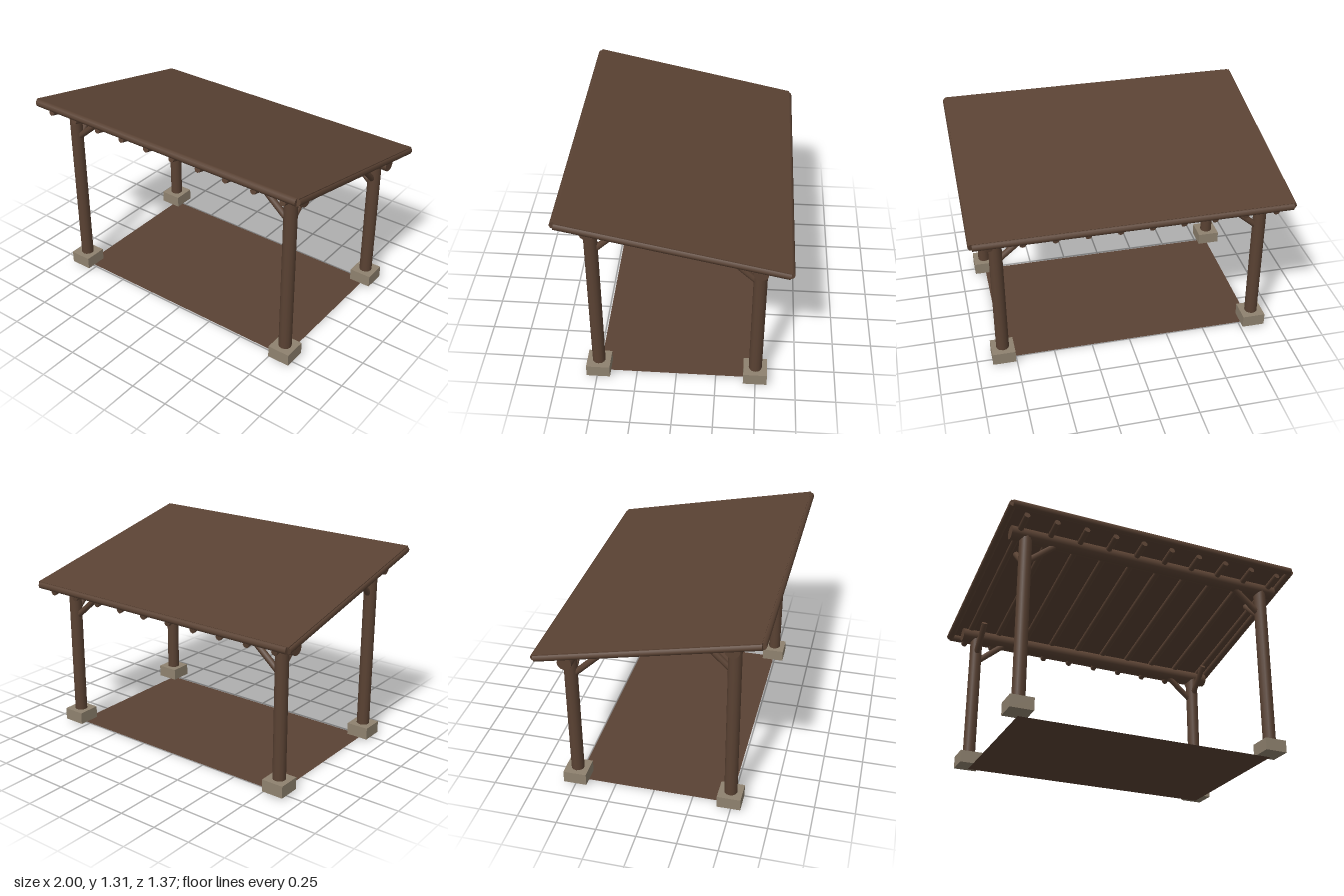
import * as THREE from 'three';

const brown = new THREE.MeshStandardMaterial({ color: 0x5a4233 });
brown.name = 'brownWood';
const ground = new THREE.MeshStandardMaterial({ color: 0x5a4234, side: THREE.DoubleSide });
ground.name = 'floorBrown';
const stone = new THREE.MeshStandardMaterial({ color: 0x8f826f });
stone.name = 'footingStone';

const UP = new THREE.Vector3(0, 1, 0);

export function createModel() {
  const model = new THREE.Group();
  model.name = 'leanToShelter';

  const add = (name, geometry, material, x = 0, y = 0, z = 0) => {
    const mesh = new THREE.Mesh(geometry, material);
    mesh.name = name;
    mesh.position.set(x, y, z);
    model.add(mesh);
    return mesh;
  };

  // Round log running between two points
  const log = (name, a, b, radius, sides = 8) => {
    const from = new THREE.Vector3(...a);
    const to = new THREE.Vector3(...b);
    const dir = to.clone().sub(from);
    const mesh = add(name, new THREE.CylinderGeometry(radius, radius, dir.length(), sides), brown);
    mesh.position.copy(from).add(to).multiplyScalar(0.5);
    mesh.quaternion.setFromUnitVectors(UP, dir.normalize());
    return mesh;
  };

  // Floor sheet between the posts
  add('floor', new THREE.PlaneGeometry(1.66, 0.985).rotateX(-Math.PI / 2), ground, 0, 0, -0.004);

  // Front (tall) and back (short) frames: posts, footings, beam and braces
  const frames = [
    { side: 'front', z: 0.489, beamY: 1.19, inward: -1, braceY: 1.0, sideBraceY: 0.985 },
    { side: 'back', z: -0.497, beamY: 0.951, inward: 1, braceY: 0.76, sideBraceY: 0.80 },
  ];
  for (const { side, z, beamY, inward, braceY, sideBraceY } of frames) {
    log(side + 'Beam', [-0.931, beamY, z], [0.929, beamY, z], 0.045, 12);
    for (const s of [-1, 1]) {
      const x = s * 0.831;
      add(side + 'Footing', new THREE.BoxGeometry(0.146, 0.079, 0.148), stone, x, 0.057, z);
      log(side + 'Post', [x, 0.08, z], [x, beamY, z], 0.041, 12);
      log(side + 'BeamBrace', [x, braceY, z], [x - s * 0.205, braceY + 0.176, z], 0.02);
      log(side + 'RafterBrace', [x, sideBraceY, z], [x, sideBraceY + 0.174, z + inward * 0.181], 0.02);
    }
  }

  // Rafters resting on both beams
  for (let i = 0; i < 10; i++) {
    const x = -0.878 + i * 0.1948;
    log('rafter', [x, 0.957, -0.647], [x, 1.233, 0.648], 0.02);
  }

  // Log border around the sloped roof
  const high = { y: 1.281, z: 0.661 };
  const low = { y: 0.997, z: -0.661 };
  for (const [name, e] of [['frontEdgeLog', high], ['backEdgeLog', low]]) {
    log(name, [-0.975, e.y, e.z], [0.975, e.y, e.z], 0.024);
  }
  for (const s of [-1, 1]) {
    log('sideEdgeLog', [s * 0.975, low.y, low.z], [s * 0.975, high.y, high.z], 0.024);
  }

  // Roof panel lying flush with the top of the border
  const slope = Math.atan2(high.y - low.y, high.z - low.z);
  const length = Math.hypot(high.y - low.y, high.z - low.z);
  const offset = 0.0185;
  const roof = add('roofPanel', new THREE.BoxGeometry(1.974, 0.012, length + 0.004), brown,
    0, (high.y + low.y) / 2 + offset * Math.cos(slope), -offset * Math.sin(slope));
  roof.rotation.x = -slope;

  return model;
}
